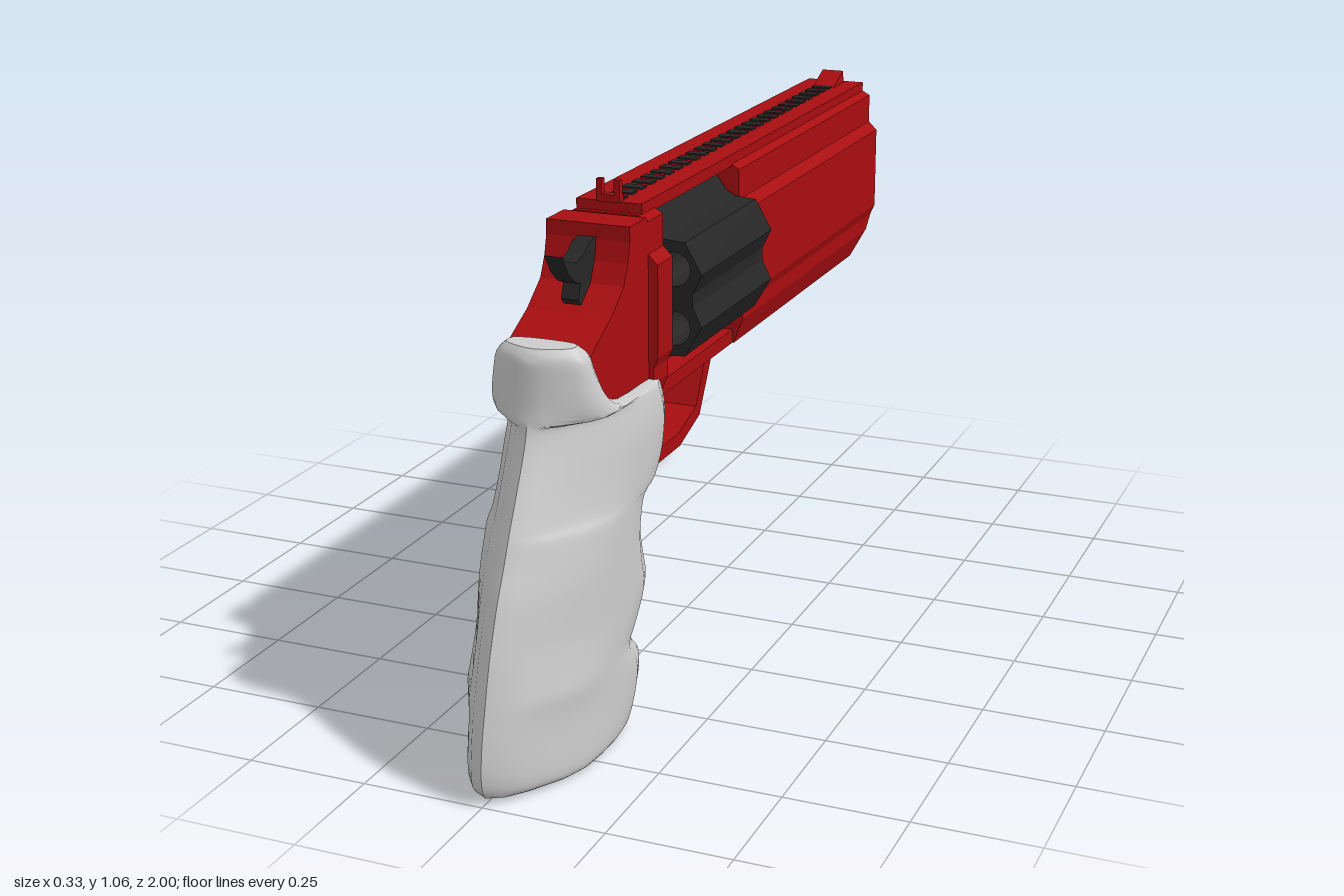
import * as THREE from 'three';
import { toCreasedNormals } from 'three/addons/utils/BufferGeometryUtils.js';
import { ParametricGeometry } from 'three/addons/geometries/ParametricGeometry.js';

const paint = (color) => new THREE.MeshStandardMaterial({ color });
const red = paint(0xa80d10), dark = paint(0x262626), grey = paint(0xcccccc);
const shapeOf = (pts) => new THREE.Shape(pts.map(([x, y]) => new THREE.Vector2(x, y)));

// Side outline given as [z, y], extruded symmetrically across x
function sideGeo(pts, halfWidth) {
  const g = new THREE.ExtrudeGeometry(shapeOf(pts), { depth: halfWidth * 2, bevelEnabled: false });
  return g.translate(0, 0, -halfWidth).rotateY(-Math.PI / 2);
}

// Cross-section given as its +x half from top to bottom, mirrored and run from z0 to z1
function sectionGeo(half, z0, z1) {
  const mirrored = half.map(([x, y]) => [-x, y]).reverse();
  const g = new THREE.ExtrudeGeometry(shapeOf([...half, ...mirrored]), { depth: z1 - z0, bevelEnabled: false });
  return g.translate(0, 0, z0);
}

// Move each vertex's z by a rule
function shiftZ(g, rule) {
  const p = g.attributes.position;
  for (let i = 0; i < p.count; i++) p.setZ(i, p.getZ(i) + rule(p.getY(i), p.getZ(i)));
  g.computeVertexNormals();
  return g;
}

// Lofted grip: rows are [y, back z, front z, half width]
function gripGeo() {
  const rows = [
    [0, 0.93, 0.57, 0.11], [0.012, 0.985, 0.53, 0.125], [0.05, 1, 0.49, 0.128], [0.1, 0.997, 0.465, 0.128],
    [0.14, 0.99, 0.475, 0.128], [0.18, 0.98, 0.515, 0.128], [0.22, 0.97, 0.475, 0.128], [0.275, 0.955, 0.43, 0.128],
    [0.33, 0.935, 0.445, 0.128], [0.38, 0.915, 0.46, 0.128], [0.43, 0.89, 0.458, 0.128], [0.47, 0.872, 0.44, 0.128],
    [0.49, 0.863, 0.38, 0.128], [0.54, 0.838, 0.34, 0.128], [0.6, 0.808, 0.33, 0.127], [0.645, 0.788, 0.34, 0.122],
    [0.67, 0.781, 0.37, 0.117], [0.677, 0.779, 0.55, 0.115], [0.71, 0.772, 0.625, 0.11], [0.76, 0.768, 0.657, 0.1],
    [0.8, 0.765, 0.67, 0.09], [0.82, 0.75, 0.685, 0.07],
  ];
  const outline = new THREE.CatmullRomCurve3(rows.map(([y, b, f]) => new THREE.Vector3(y, b, f)), false, 'catmullrom');
  const width = new THREE.CatmullRomCurve3(rows.map((r) => new THREE.Vector3(r[3], 0, 0)), false, 'catmullrom');
  // Half section: [share of width, share of the way from back to front]
  const half = [[0, 0], [0.25, 0.04], [0.47, 0.12], [0.8, 0.28], [0.96, 0.42], [1, 0.56], [1, 0.7],
    [0.95, 0.83], [0.8, 0.93], [0.45, 0.985], [0, 1]];
  const ring = [...half, ...half.slice(0, -1).reverse().map(([x, d]) => [-x, d])];
  const slices = ring.length - 1, stacks = 65;
  const a = new THREE.Vector3(), b = new THREE.Vector3();
  const g = new ParametricGeometry((u, v, out) => {
    const i = Math.round(v * stacks);
    const t = THREE.MathUtils.clamp((i - 1) / (stacks - 2), 0, 1);
    const closed = v <= 0 || v >= 1;
    outline.getPoint(t, a);
    width.getPoint(t, b);
    const [x, d] = closed ? [0, 0.5] : ring[Math.min(slices, Math.round(u * slices))];
    out.set(x * b.x, a.x, a.y + (a.z - a.y) * d);
  }, slices, stacks);
  return toCreasedNormals(g, 0.6);
}

// Fluted drum with six chambers, centred on the z axis
function drumGeo(length) {
  const polar = (deg, r) => [r * Math.cos(deg * Math.PI / 180), r * Math.sin(deg * Math.PI / 180)];
  const pts = [];
  for (let k = 0; k < 6; k++) {
    pts.push(polar(k * 60 - 5, 0.147), polar(k * 60 + 5, 0.147), polar(k * 60 + 18, 0.175), polar(k * 60 + 42, 0.175));
  }
  const shape = shapeOf(pts);
  for (let k = 0; k < 6; k++) {
    const [x, y] = polar(k * 60 + 30, 0.122);
    shape.holes.push(new THREE.Path().absarc(x, y, 0.036, 0, Math.PI * 2, true));
  }
  return new THREE.ExtrudeGeometry(shape, { depth: length, bevelEnabled: false, curveSegments: 8 })
    .translate(0, 0, -length / 2);
}

export function createModel() {
  const model = new THREE.Group();
  const add = (name, geometry, material, x = 0, y = 0, z = 0) => {
    const mesh = new THREE.Mesh(geometry, material);
    mesh.name = name;
    mesh.position.set(x, y, z);
    model.add(mesh);
    return mesh;
  };

  // Barrel shroud: stepped upper part, and lower part cut back at the muzzle
  const upper = [[0.07, 1], [0.088, 0.99], [0.088, 0.925], [0.108, 0.905], [0.108, 0.715], [0.098, 0.692]];
  const lower = [[0.098, 0.692], [0.098, 0.66], [0.078, 0.605]];
  add('barrelShroud', sectionGeo(upper, -0.97, -0.078), red);
  add('barrelUnderside', shiftZ(sectionGeo(lower, -0.97, -0.078),
    (y, z) => (z < -0.9 ? (0.692 - y) * 1.1 : 0)), red);

  // Muzzle insert with a sloping lower face
  const muzzle = [[0.032, 0.985], [0.05, 0.965], [0.05, 0.775], [0.032, 0.75]];
  add('muzzle', shiftZ(sectionGeo(muzzle, -1, -0.95),
    (y, z) => (z < -0.98 ? Math.max(0, 0.965 - y) * 0.12 : 0)), dark);

  // Frame around the drum
  add('recoilShield', sectionGeo(upper, 0.337, 0.412), red);
  add('recoilShieldBase', sectionGeo(lower, 0.337, 0.412), red);
  add('lowerStrap', new THREE.BoxGeometry(0.15, 0.03, 0.43), red, 0, 0.62, 0.13);
  add('rearFrame', sideGeo([[0.4, 0.605], [0.55, 0.62], [0.66, 0.7], [0.69, 0.79], [0.66, 0.81], [0.59, 0.845],
    [0.53, 0.89], [0.51, 0.93], [0.5, 0.97], [0.5, 1], [0.42, 1], [0.4, 0.97]], 0.088), red);

  // Top rail with evenly spaced dark slots
  add('topRail', new THREE.BoxGeometry(0.14, 0.025, 1.37), red, 0, 1.008, -0.285);
  for (let i = 0; i < 27; i++) {
    add('railSlot', new THREE.BoxGeometry(0.044, 0.012, 0.026), dark, 0, 1.018, 0.37 - i * 0.0475);
  }

  // Sights
  add('frontSight', sideGeo([[-0.86, 1.015], [-0.945, 1.05], [-0.955, 1.015]], 0.026), red);
  add('rearSightBase', new THREE.BoxGeometry(0.05, 0.015, 0.02), red, 0, 1.027, 0.395);
  for (const s of [-1, 1]) {
    add('rearSightPost', new THREE.BoxGeometry(0.012, 0.045, 0.014), red, s * 0.019, 1.042, 0.398);
  }

  // Drum, its axle, and the loaded chambers on one side
  add('drum', drumGeo(0.395), dark, 0, 0.815, 0.13);
  add('drumAxle', new THREE.CylinderGeometry(0.02, 0.02, 0.43, 8).rotateX(Math.PI / 2), dark, 0, 0.815, 0.13);
  for (const s of [-1, 1]) {
    add('round', new THREE.CylinderGeometry(0.036, 0.036, 0.36, 8).rotateX(Math.PI / 2), dark,
      -0.1057, 0.815 + s * 0.061, 0.14);
  }

  // Hammer, trigger and guard
  add('hammer', sideGeo([[0.655, 0.972], [0.625, 0.955], [0.59, 0.945], [0.555, 0.955], [0.53, 0.972], [0.49, 0.975],
    [0.49, 0.86], [0.57, 0.855], [0.585, 0.87], [0.575, 0.9], [0.6, 0.91], [0.63, 0.935]], 0.018), dark);
  add('trigger', sideGeo([[0.34, 0.62], [0.27, 0.62], [0.277, 0.57], [0.265, 0.53], [0.24, 0.492],
    [0.275, 0.515], [0.305, 0.55]], 0.02), dark);
  add('triggerGuard', sideGeo([[0.46, 0.5], [0.42, 0.465], [0.36, 0.435], [0.14, 0.435], [0.03, 0.47], [-0.055, 0.61],
    [-0.012, 0.61], [0.05, 0.495], [0.15, 0.465], [0.35, 0.465], [0.4, 0.49], [0.44, 0.53]], 0.042), red);

  add('grip', gripGeo(), grey);
  return model;
}
